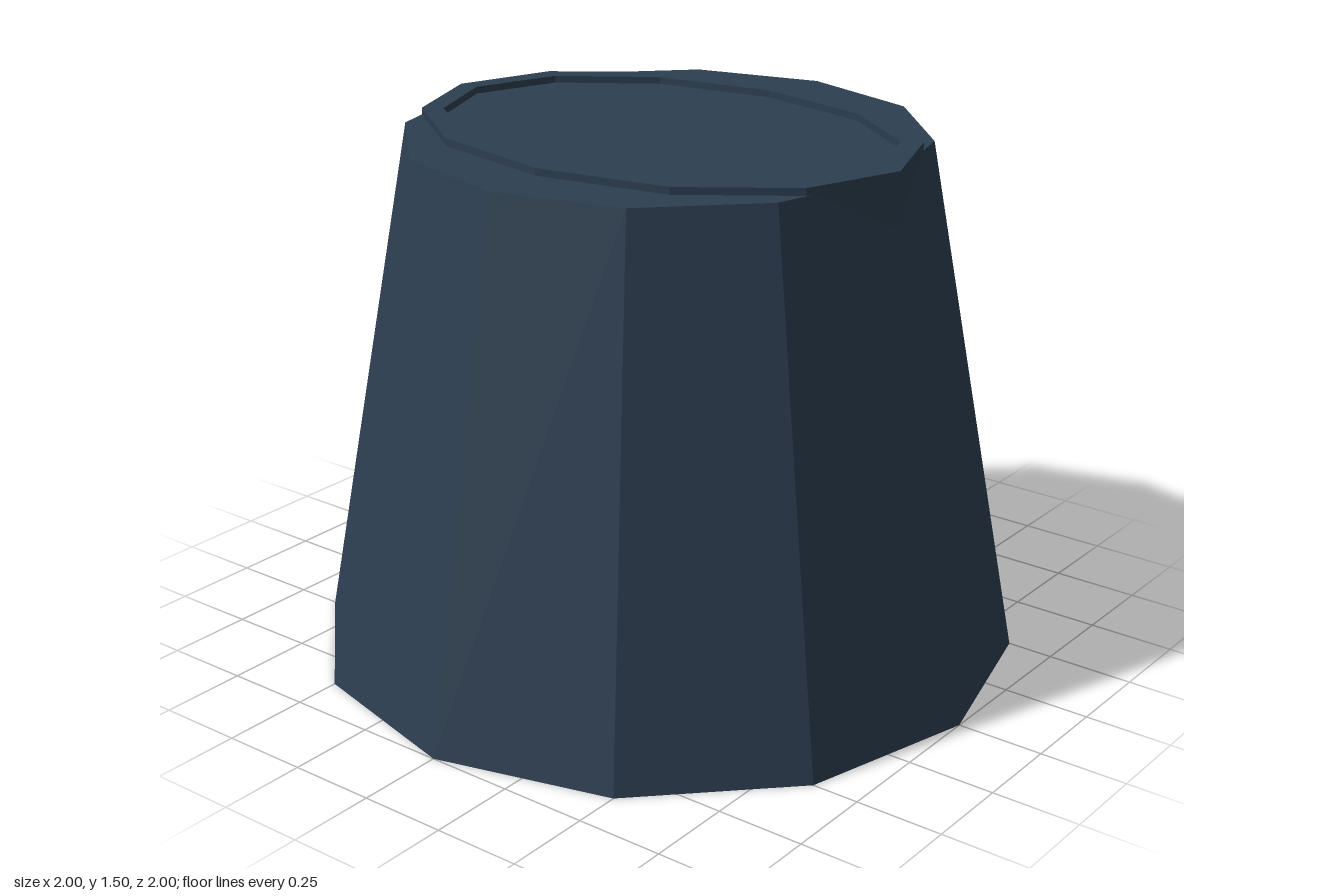
import * as THREE from 'three';

// Twelve-sided oval outline with corners on both axes
function ovalPoints(rx, ry) {
  const points = [];
  for (let i = 0; i < 12; i++) {
    const a = (i / 12) * Math.PI * 2;
    points.push(new THREE.Vector2(Math.cos(a) * rx, Math.sin(a) * ry));
  }
  return points;
}

export function createModel() {
  const group = new THREE.Group();
  group.name = 'taperedPot';

  const slate = new THREE.MeshStandardMaterial({ color: 0x2c3e50, flatShading: true });
  slate.name = 'dark slate blue';

  // Tapered twelve-sided body, closed at both ends
  const bodyHeight = 1.485;
  const body = new THREE.Mesh(new THREE.CylinderGeometry(0.725, 1, bodyHeight, 12), slate);
  body.name = 'body';
  body.position.y = bodyHeight / 2;
  group.add(body);

  // Oval rim sunk into the top, its ends poking out at the sides
  const rimBottom = 1.36;
  const rimTop = 1.505;
  const outline = new THREE.Shape(ovalPoints(0.75, 0.545));
  outline.holes.push(new THREE.Path(ovalPoints(0.69, 0.48)));
  const rimGeometry = new THREE.ExtrudeGeometry(outline, {
    depth: rimTop - rimBottom,
    bevelEnabled: false,
  });
  rimGeometry.rotateX(-Math.PI / 2);
  const rim = new THREE.Mesh(rimGeometry, slate);
  rim.name = 'rim';
  rim.position.y = rimBottom;
  group.add(rim);

  return group;
}
